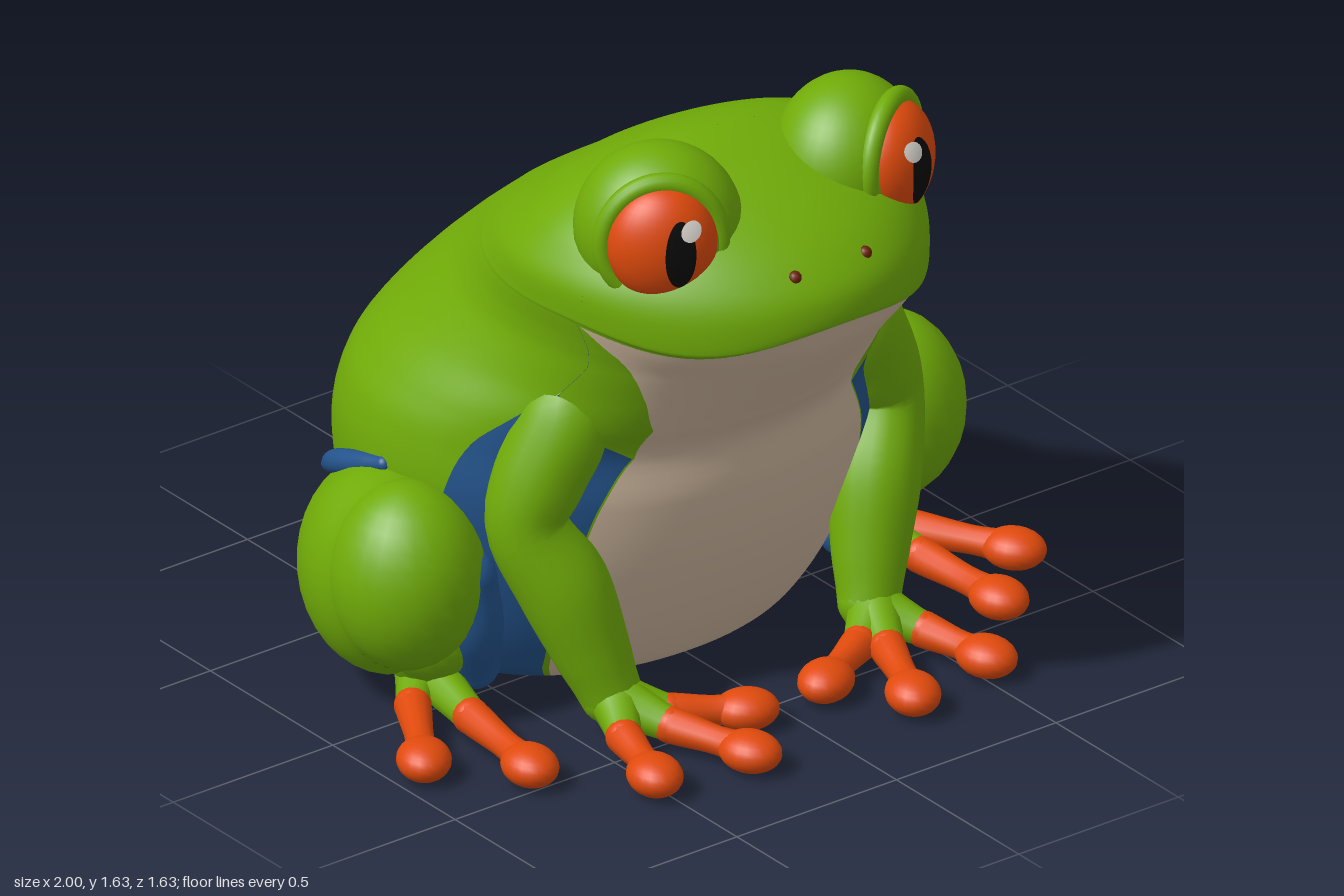
import * as THREE from 'three';
import { mergeGeometries, mergeVertices } from 'three/addons/utils/BufferGeometryUtils.js';
import { ParametricGeometry } from 'three/addons/geometries/ParametricGeometry.js';

const mat = (name, color) => {
  const m = new THREE.MeshStandardMaterial({ color });
  m.name = name;
  return m;
};
const DEG = Math.PI / 180;

// Body sections: y, front z, back z, half width, z of widest point
const ROWS = [
  [0.005, 0.14, -0.62, 0.5, -0.22], [0.06, 0.21, -0.68, 0.55, -0.21], [0.2, 0.30, -0.76, 0.62, -0.2],
  [0.4, 0.385, -0.815, 0.68, -0.2], [0.6, 0.435, -0.80, 0.715, -0.2], [0.75, 0.45, -0.755, 0.7, -0.18],
  [0.85, 0.52, -0.70, 0.655, -0.12], [0.95, 0.605, -0.62, 0.59, -0.03], [1.05, 0.69, -0.52, 0.548, 0.08],
  [1.12, 0.74, -0.44, 0.54, 0.14], [1.19, 0.775, -0.355, 0.547, 0.19], [1.21, 0.80, -0.33, 0.549, 0.2],
  [1.28, 0.79, -0.23, 0.545, 0.22], [1.34, 0.745, -0.14, 0.515, 0.24], [1.4, 0.67, -0.06, 0.465, 0.26],
  [1.46, 0.56, 0.04, 0.38, 0.27], [1.51, 0.43, 0.14, 0.26, 0.27], [1.535, 0.33, 0.22, 0.12, 0.27],
  [1.54, 0.271, 0.269, 0.001, 0.27],
];
const MOUTH = 10, TOP = ROWS.length - 1, BASE = 0.5;
// Colour borders per row up to the mouth, in degrees from the front
const BELLY = [44, 45, 44, 40, 35, 29, 30, 39, 50, 58, 71];
const BLUE_FROM = [46, 47, 45, 40.5, 35.5, 29.5, 48, 60, 62, 66, 72];
const BLUE_TO = [66, 66, 66, 67, 70, 66, 63, 60.1, 62.1, 66.1, 72.1];

// Smooth interpolation through a list of numbers
function spline(get, t, last) {
  const i = Math.min(Math.floor(t), last - 1), f = t - i;
  const p = (k) => get(THREE.MathUtils.clamp(k, 0, last));
  const a = p(i - 1), b = p(i), c = p(i + 1), d = p(i + 2);
  return b + 0.5 * f * (c - a + f * (2 * a - 5 * b + 4 * c - d + f * (3 * (b - c) + d - a)));
}
// Border angle at a row position; it runs straight up above the mouth
const border = (list, t) => {
  const i = Math.min(Math.floor(t), MOUTH - 1);
  return THREE.MathUtils.lerp(list[i], list[i + 1], Math.min(t - i, 1)) * DEG;
};

// Point of the skin at an angle from the front and a row position
function skin(angle, t, target) {
  const [y, front, back, half, mid] = [0, 1, 2, 3, 4].map((k) => spline((i) => ROWS[i][k], t, TOP));
  const c = Math.cos(angle), a = Math.acos(c);
  const smile = a < 82 * DEG ? 0.045 * Math.sin(a * 180 / 82) ** 2 * Math.exp(-(((y - 1.2) / 0.1) ** 2)) : 0;
  target.set(half * Math.sin(angle), y - smile, mid + c * (c > 0 ? front - mid : mid - back));
}
const patch = (from, to, t0, t1, nu, nv) => new ParametricGeometry((u, v, target) => {
  const t = THREE.MathUtils.lerp(t0, t1, v);
  skin(THREE.MathUtils.lerp(from(t), to(t), u), t, target);
}, nu, nv);

// Tapered limb through points [x, y, z, radius], with round ends; tall stretches its section upright
function limb(points, s = 1, n = 24, sides = 18, tall = 1) {
  const curve = new THREE.CatmullRomCurve3(points.map((p) => new THREE.Vector3(p[0] * s, p[1], p[2])));
  const last = points.length - 1;
  const tube = new THREE.TubeGeometry(curve, n, 1, sides);
  const pos = tube.attributes.position, v = new THREE.Vector3();
  for (let i = 0; i <= n; i++) {
    const t = curve.getUtoTmapping(i / n), centre = curve.getPoint(t);
    const r = spline((k) => points[k][3], t * last, last);
    for (let j = 0; j <= sides; j++) {
      const k = i * (sides + 1) + j;
      v.fromBufferAttribute(pos, k).sub(centre).multiplyScalar(r);
      v.y *= tall;
      v.add(centre);
      pos.setXYZ(k, v.x, v.y, v.z);
    }
  }
  const parts = [tube, ...[points[0], points[last]].map((p) =>
    new THREE.SphereGeometry(p[3], 24, 16).scale(1, tall, 1).translate(p[0] * s, p[1], p[2]))];
  return mergeGeometries(parts.map((g) => {
    g.deleteAttribute('uv');
    g.deleteAttribute('normal');
    const m = mergeVertices(g);
    m.computeVertexNormals();
    return m;
  }));
}

export function createModel() {
  const green = mat('leafGreen', 0x70ab08), cream = mat('bellyCream', 0xd0b9a0), blue = mat('flankBlue', 0x24548c);
  const orange = mat('toeOrange', 0xe04a0c), black = mat('pupilBlack', 0x0a0a0a), white = mat('glintWhite', 0xece6de);
  const teal = mat('undersideTeal', 0x3d7250), brown = mat('nostrilBrown', 0x6a2008);
  const frog = new THREE.Group();
  frog.name = 'frog';
  const add = (name, geometry, material, parent = frog) => {
    const mesh = new THREE.Mesh(geometry, material);
    mesh.name = name;
    parent.add(mesh);
    return mesh;
  };

  // Trunk and head
  const belly = (t) => border(BELLY, t), blueA = (t) => border(BLUE_FROM, t), blueB = (t) => border(BLUE_TO, t);
  const around = (t) => 2 * Math.PI - blueB(t);
  add('belly', patch((t) => -belly(t), belly, 0, MOUTH, 36, 50), cream);
  add('back', patch(blueB, around, BASE, TOP, 56, 90), green);
  add('baseBand', patch(blueB, around, 0, BASE, 56, 4), teal);
  add('face', patch((t) => -blueB(t), blueB, MOUTH, TOP, 40, 40), green);
  add('underside', new ParametricGeometry((u, v, target) => {
    skin((u * 2 - 1) * Math.PI, 0, target);
    target.set(target.x * v, 0.005, THREE.MathUtils.lerp(-0.22, target.z, v));
  }, 60, 4), teal);

  for (const s of [1, -1]) {
    const side = s > 0 ? 'left' : 'right';
    const half = new THREE.Group();
    half.name = side + 'Side';
    frog.add(half);
    const part = (name, geometry, material) => add(side + name, geometry, material, half);
    const strip = (a, b) => (s > 0 ? patch(a, b, 0, MOUTH, 8, 50)
      : patch((t) => -b(t), (t) => -a(t), 0, MOUTH, 8, 50));
    part('Chest', strip(belly, blueA), green);
    part('Flank', strip(blueA, blueB), blue);

    // Eye: socket, lid rim, eyeball, pupil and glint
    const eye = new THREE.Group();
    eye.name = side + 'Eye';
    eye.position.set(0.362 * s, 1.43, 0.512);
    eye.rotation.y = 0.52 * s;
    half.add(eye);
    const [a, b, c] = [0.142, 0.155, 0.1];
    const socket = add('socket', new THREE.SphereGeometry(1, 36, 24), green, eye);
    socket.scale.set(0.213, 0.217, 0.185);
    socket.position.set(-0.008 * s, -0.015, -0.122);
    const rim = add('eyelid', new THREE.TorusGeometry(0.153, 0.026, 14, 44), green, eye);
    rim.scale.set(0.97, 1.04, 1);
    rim.position.z = -0.004;
    add('eyeball', new THREE.SphereGeometry(1, 36, 24), orange, eye).scale.set(a, b, c);
    const spot = (name, x, y, rx, ry, lift, material) => {
      const g = new THREE.RingGeometry(0.001, 1, 28, 6), p = g.attributes.position;
      for (let i = 0; i < p.count; i++) {
        const px = x * s + p.getX(i) * rx, py = y + p.getY(i) * ry;
        p.setXYZ(i, px, py, c * Math.sqrt(Math.max(0, 1 - (px / a) ** 2 - (py / b) ** 2)) + lift);
      }
      g.computeVertexNormals();
      add(name, g, material, eye);
    };
    spot('pupil', -0.036, 0, 0.04, 0.092, 0.004, black);
    spot('glint', -0.064, 0.064, 0.027, 0.026, 0.007, white);

    // Nostril
    const nostril = part('Nostril', new THREE.SphereGeometry(0.018, 12, 8), brown);
    nostril.position.set(0.11 * s, 1.335, 0.728);

    // Arm with blue rear edge
    part('Arm', limb([[0.42, 1.06, 0.16, 0.05], [0.435, 0.88, 0.23, 0.12], [0.52, 0.7, 0.22, 0.118],
      [0.558, 0.58, 0.215, 0.105], [0.488, 0.4, 0.275, 0.118], [0.435, 0.22, 0.325, 0.098],
      [0.405, 0.11, 0.36, 0.08]], s, 36), green);
    part('ArmInner', limb([[0.52, 0.5, 0.215, 0.088], [0.488, 0.36, 0.25, 0.093], [0.435, 0.2, 0.3, 0.078],
      [0.41, 0.11, 0.33, 0.055]], s), blue);

    // Folded hind leg
    part('Thigh', limb([[0.42, 0.25, -0.44, 0.17], [0.58, 0.285, -0.34, 0.2], [0.7, 0.345, -0.16, 0.225],
      [0.752, 0.395, -0.02, 0.2]], s, 36, 36, 1.25), green);
    part('Ankle', limb([[0.68, 0.22, -0.02, 0.13], [0.67, 0.13, -0.06, 0.1], [0.66, 0.09, -0.08, 0.07]], s), green);
    part('ShinInner', limb([[0.64, 0.4, 0.085, 0.072], [0.62, 0.25, 0.075, 0.08], [0.58, 0.11, 0.03, 0.065]], s), blue);
    part('ThighCrease', limb([[0.71, 0.63, -0.17, 0.02], [0.712, 0.6, -0.25, 0.03], [0.7, 0.55, -0.37, 0.032],
      [0.62, 0.46, -0.51, 0.02]], s), blue);

    // Feet: palm bones in green, toes in orange with round pads
    const foot = (name, root, toes) => toes.forEach(([base, tip], i) => {
      const mid = base.map((v, k) => (v + root[k]) / 2);
      part(name + 'Palm' + i, limb([[...root, 0.07], [...mid, 0.055], [...base, 0.044]], s, 10, 12), green);
      const along = base.map((v, k) => v + (tip[k] - v) * 0.6);
      part(name + 'Toe' + i, limb([[...base, 0.047], [...along, 0.037], [...tip, 0.045]], s, 10, 12), orange);
      const pad = part(name + 'Pad' + i, new THREE.SphereGeometry(1, 20, 14), orange);
      pad.scale.set(0.07, 0.052, 0.084);
      pad.position.set(tip[0] * s, tip[1], tip[2]);
      pad.rotation.y = Math.atan2((tip[0] - base[0]) * s, tip[2] - base[2]);
    });
    foot('Hand', [0.405, 0.1, 0.38], [
      [[0.47, 0.065, 0.5], [0.52, 0.054, 0.69]],
      [[0.34, 0.065, 0.52], [0.255, 0.054, 0.735]],
      [[0.3, 0.065, 0.46], [0.125, 0.054, 0.55]],
    ]);
    foot('Foot', [0.66, 0.09, -0.08], [
      [[0.78, 0.06, 0.04], [0.925, 0.054, 0.275]],
      [[0.705, 0.065, 0.18], [0.735, 0.054, 0.46]],
    ]);
  }
  return frog;
}
